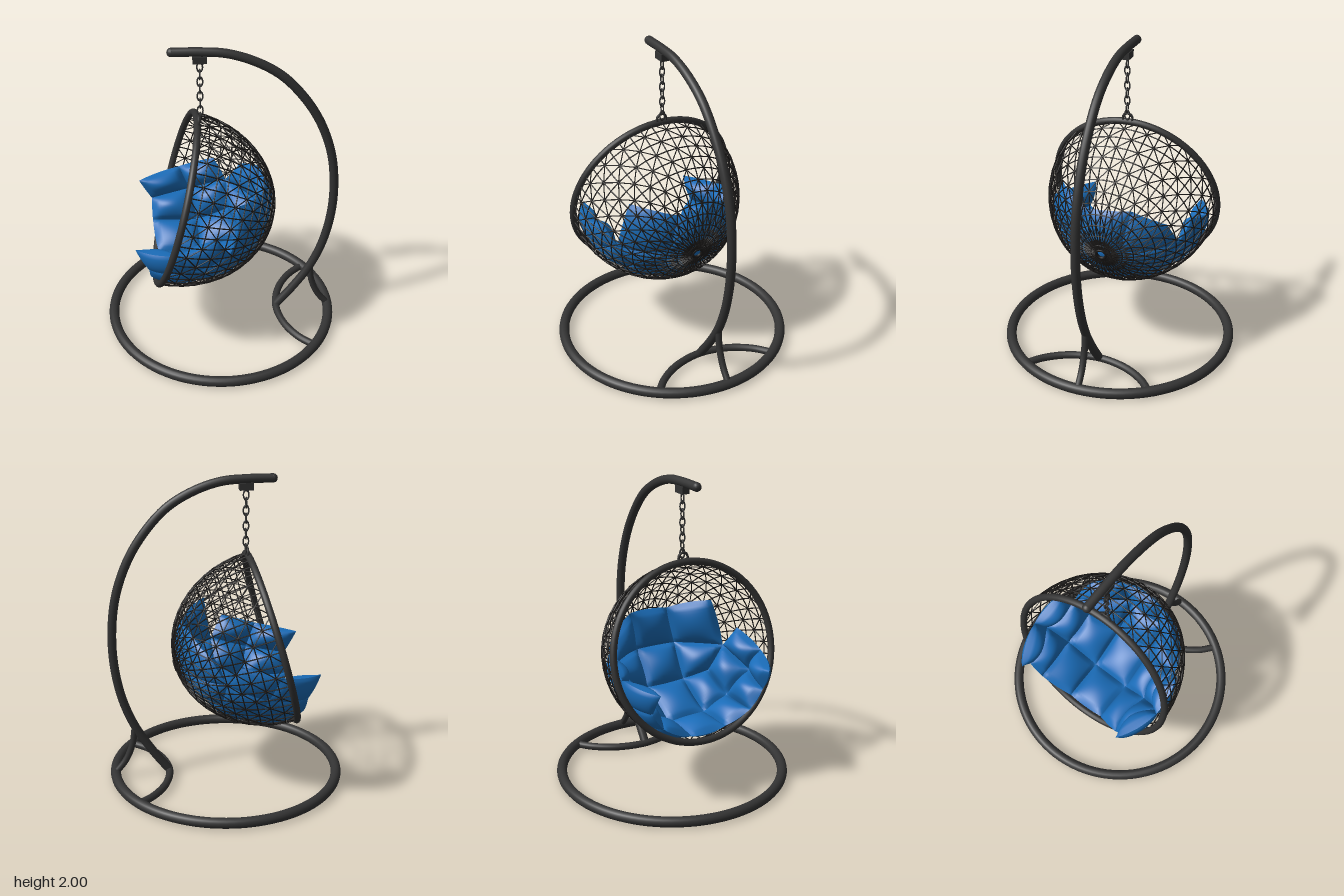
import * as THREE from 'three';
import { mergeGeometries } from 'three/addons/utils/BufferGeometryUtils.js';

const frameMat = new THREE.MeshStandardMaterial({ color: 0x333333 });
const wireMat = new THREE.MeshStandardMaterial({ color: 0x1c1a19 });
const clothMat = new THREE.MeshStandardMaterial({ color: 0x1a6cb8, side: THREE.DoubleSide });

// Basket: half ellipsoid lying along a tilted axis (local +x points to its back)
const CENTRE = new THREE.Vector3(-0.29, 0.945, 0);
const TILT = -0.264;
const RADII = new THREE.Vector3(0.64, 0.56, 0.56);

const V = (x, y, z = 0) => new THREE.Vector3(x, y, z);

function add(parent, name, geometry, material) {
  const mesh = new THREE.Mesh(geometry, material);
  mesh.name = name;
  parent.add(mesh);
  return mesh;
}

function tube(parent, name, points, radius, segments = 48) {
  const curve = new THREE.CatmullRomCurve3(points);
  return add(parent, name, new THREE.TubeGeometry(curve, segments, radius, 14), frameMat);
}

// Straight wire between two points
function wire(a, b, radius) {
  const dir = b.clone().sub(a);
  const g = new THREE.CylinderGeometry(radius, radius, dir.length(), 5, 1, true);
  g.applyQuaternion(new THREE.Quaternion().setFromUnitVectors(V(0, 1, 0), dir.normalize()));
  return g.translate((a.x + b.x) / 2, (a.y + b.y) / 2, (a.z + b.z) / 2);
}

// Triangulated net of meridians, rings and alternating diagonals
function netGeometry() {
  const rings = 13, spokes = 46, parts = [];
  const at = (i, j) => {
    const t = Math.max(i / rings, 0.035) * Math.PI / 2;
    const p = (j / spokes) * Math.PI * 2;
    return V(Math.cos(t), Math.sin(t) * Math.cos(p), Math.sin(t) * Math.sin(p)).multiply(RADII);
  };
  for (let i = 0; i < rings; i++) {
    for (let j = 0; j < spokes; j++) {
      parts.push(wire(at(i, j), at(i + 1, j), 0.004));
      parts.push(wire(at(i, j), at(i, j + 1), 0.004));
      const flip = (i + j) % 2;
      parts.push(wire(at(i, j + flip), at(i + 1, j + 1 - flip), 0.0035));
    }
  }
  return mergeGeometries(parts);
}

// Cushion corner: world point turned into a direction in the basket, plus its shell scale
function corner(x, y, z, s = 0.93) {
  const d = V(x, y, z).sub(CENTRE).applyAxisAngle(V(0, 0, 1), -TILT).divide(RADII).normalize();
  return { d, s };
}

// Stuffed panel between four corners, curved to the shell and pinched along its edges
function panel([a, b, c, d], inner, n = 14) {
  const sheets = [inner, -0.025].map((thick, side) => {
    const pos = [], index = [];
    for (let i = 0; i <= n; i++) {
      for (let j = 0; j <= n; j++) {
        const u = i / n, v = j / n;
        const w = [(1 - u) * (1 - v), u * (1 - v), u * v, (1 - u) * v];
        const p = V(0, 0, 0);
        let s = 0;
        [a, b, c, d].forEach((k, m) => { p.addScaledVector(k.d, w[m]); s += k.s * w[m]; });
        const puff = Math.pow(Math.max(0, Math.sin(Math.PI * u) * Math.sin(Math.PI * v)), 0.5);
        p.normalize().multiplyScalar(s - puff * thick / 0.57).multiply(RADII);
        pos.push(p.x, p.y, p.z);
        if (i < n && j < n) {
          const k = i * (n + 1) + j, l = k + n + 1;
          if (side) index.push(k, l, k + 1, l, l + 1, k + 1);
          else index.push(k, k + 1, l, l, k + 1, l + 1);
        }
      }
    }
    const g = new THREE.BufferGeometry();
    g.setAttribute('position', new THREE.Float32BufferAttribute(pos, 3));
    g.setIndex(index);
    g.computeVertexNormals();
    return g;
  });
  return mergeGeometries(sheets);
}

// Panels for every cell of a grid of corners
function quilt(parent, name, rows, inner) {
  const cells = [];
  for (let r = 0; r + 1 < rows.length; r++) {
    for (let c = 0; c + 1 < rows[r].length; c++) {
      cells.push(panel([rows[r][c], rows[r][c + 1], rows[r + 1][c + 1], rows[r + 1][c]], inner));
    }
  }
  add(parent, name, mergeGeometries(cells), clothMat);
}

function buildCushion(basket) {
  const row = (points) => points.map((p) => corner(...p));
  // side corners (x, y, z) and two middle corners; the quilt sits slightly towards +z
  const across = (xs, ys, zs, xm, ym) =>
    row([[xs, ys, -zs], [xm, ym, -0.1], [xm, ym, 0.16], [xs, ys, zs]]);
  const front = across(-0.46, 0.54, 0.32, -0.42, 0.44);
  const middle = across(-0.15, 0.53, 0.33, -0.14, 0.44);
  const rear = across(0.08, 0.62, 0.33, 0.13, 0.58);
  const low = across(0.05, 0.8, 0.42, 0.25, 0.8);
  const top = row([[0.16, 0.96, -0.38], [0.22, 1.06, -0.16], [0.22, 1.04, 0.1], [0.14, 1.13, 0.39]]);
  quilt(basket, 'seatCushion', [front, middle, rear], 0.075);
  quilt(basket, 'backCushion', [rear, low, top], 0.085);
  // side wings, open to the back cushion by a notch
  for (const s of [-1, 1]) {
    const e = s > 0 ? 3 : 0;
    quilt(basket, s > 0 ? 'leftWingCushion' : 'rightWingCushion', [
      [front[e], middle[e], rear[e]],
      row([[-0.46, 0.67, 0.4 * s, 0.9], [-0.2, 0.7, 0.47 * s], [0.05, 0.8, 0.42 * s]]),
      row([[-0.53, 0.83, 0.37 * s, 0.82], [-0.27, 0.86, 0.5 * s, 0.9], [-0.03, 0.94, 0.48 * s]]),
    ], 0.1);
  }
}

export function createModel() {
  const model = new THREE.Group();
  model.name = 'hangingChair';

  // Floor ring
  const ring = add(model, 'baseRing', new THREE.TorusGeometry(0.73, 0.033, 16, 96), frameMat);
  ring.rotation.x = Math.PI / 2;
  ring.position.y = 0.036;

  // Curved post with a rounded tip, inner floor arc and rear brace
  tube(model, 'post', [
    V(-0.29, 1.972), V(-0.13, 1.972), V(0.03, 1.96), V(0.2, 1.905), V(0.36, 1.81), V(0.5, 1.66),
    V(0.61, 1.48), V(0.69, 1.25), V(0.72, 1.0), V(0.71, 0.77), V(0.665, 0.55), V(0.59, 0.36),
    V(0.48, 0.18), V(0.385, 0.05),
  ], 0.028, 90);
  add(model, 'postTip', new THREE.SphereGeometry(0.028, 14, 10), frameMat).position.set(-0.29, 1.972, 0);
  tube(model, 'floorArc', [
    V(0.6, 0.036, -0.42), V(0.5, 0.036, -0.33), V(0.415, 0.036, -0.19), V(0.376, 0.036, 0),
    V(0.415, 0.036, 0.19), V(0.5, 0.036, 0.33), V(0.6, 0.036, 0.42),
  ], 0.024);
  tube(model, 'rearBrace', [V(0.595, 0.37), V(0.615, 0.24), V(0.66, 0.13), V(0.725, 0.045)], 0.021, 24);

  // Hanger plate, chain and basket eye
  add(model, 'hangerPlate', new THREE.BoxGeometry(0.085, 0.045, 0.05), frameMat).position.set(-0.125, 1.927, 0);
  const chain = new THREE.Group();
  chain.name = 'chain';
  model.add(chain);
  for (let i = 0; i < 8; i++) {
    const link = add(chain, 'chainLink', new THREE.TorusGeometry(0.017, 0.0045, 8, 20), frameMat);
    link.scale.y = 1.75;
    link.rotation.y = (i % 2) * Math.PI / 2;
    link.position.set(-0.125, 1.873 - i * 0.0485, 0);
  }
  const eye = add(model, 'basketEye', new THREE.TorusGeometry(0.032, 0.008, 8, 24), frameMat);
  eye.rotation.y = Math.PI / 2;
  eye.position.set(-0.135, 1.508, 0);

  // Basket: rim, net, hub at the back and cushions
  const basket = new THREE.Group();
  basket.name = 'basket';
  basket.position.copy(CENTRE);
  basket.rotation.z = TILT;
  model.add(basket);
  add(basket, 'rim', new THREE.TorusGeometry(0.557, 0.022, 14, 80), frameMat).rotation.y = Math.PI / 2;
  add(basket, 'net', netGeometry(), wireMat);
  const hub = add(basket, 'netHub', new THREE.TorusGeometry(0.032, 0.009, 8, 24), wireMat);
  hub.rotation.y = Math.PI / 2;
  hub.position.x = 0.638;
  buildCushion(basket);

  return model;
}
